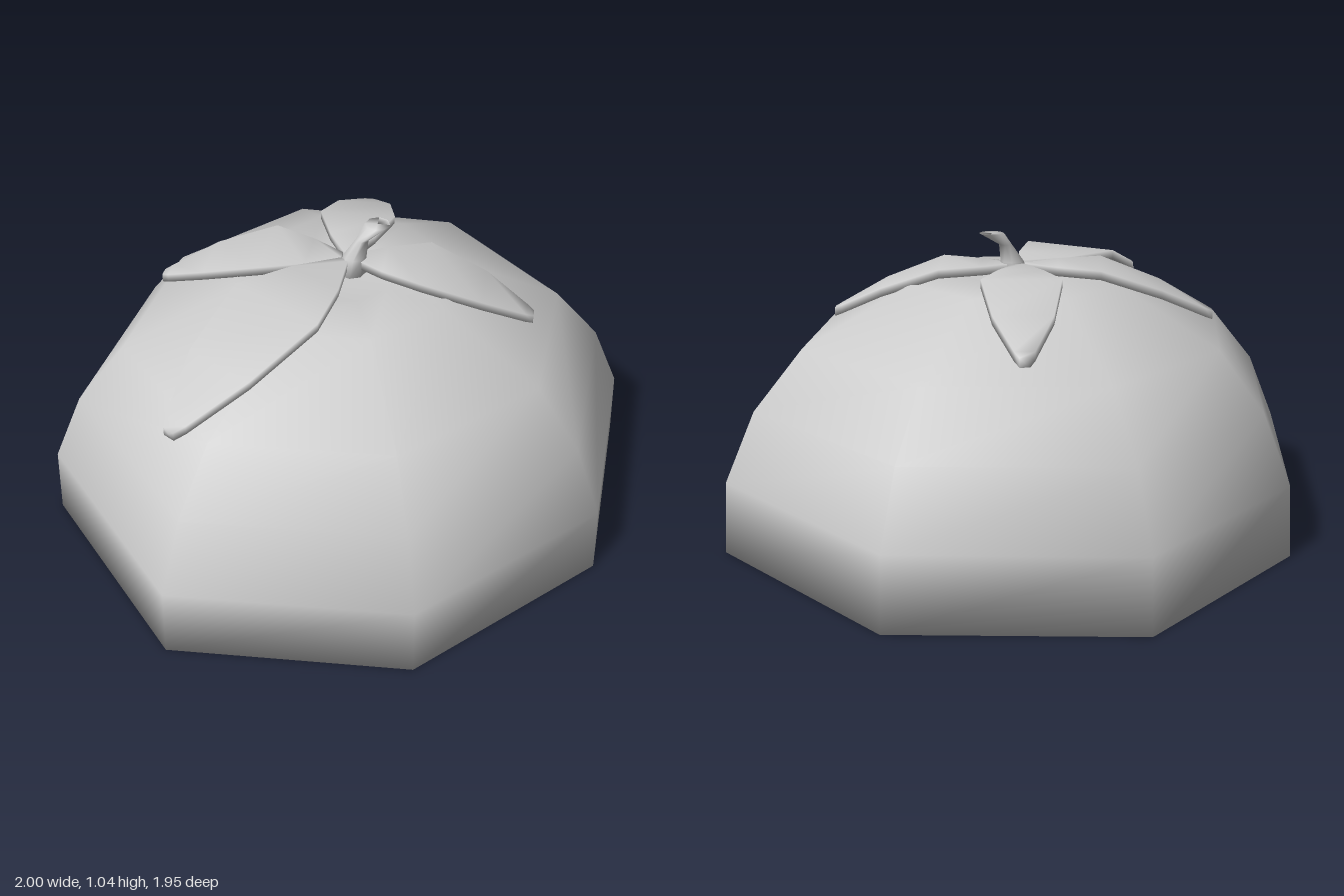
import * as THREE from 'three';

// Smooth closed surface through rings of points, counterclockwise seen from the last ring
function loft(rings, startCap, endCap) {
  const n = rings[0].length, pos = [], index = [];
  const mean = (ring) => [0, 1, 2].map((k) => ring.reduce((s, p) => s + p[k], 0) / n);
  rings.forEach((ring) => ring.forEach((p) => pos.push(...p)));
  const last = (rings.length - 1) * n, c0 = rings.length * n, c1 = c0 + 1;
  pos.push(...(startCap ?? mean(rings[0])), ...(endCap ?? mean(rings[rings.length - 1])));
  for (let j = 0; j < n; j++) {
    const k = (j + 1) % n;
    for (let i = 0; i < last; i += n) {
      index.push(i + j, i + k, i + n + k, i + j, i + n + k, i + n + j);
    }
    index.push(c0, k, j, c1, last + j, last + k);
  }
  const g = new THREE.BufferGeometry();
  g.setAttribute('position', new THREE.Float32BufferAttribute(pos, 3));
  g.setIndex(index);
  g.computeVertexNormals();
  return g;
}

export function createModel() {
  const group = new THREE.Group();
  const material = new THREE.MeshStandardMaterial({ color: 0xcccccc });
  const add = (name, geometry) => {
    const mesh = new THREE.Mesh(geometry, material);
    mesh.name = name;
    group.add(mesh);
    return mesh;
  };

  // Fruit body: slightly uneven octagon scaled up a dome, with a shallow dip on top
  const outline = [[-0.4, -0.98], [-0.92, -0.41], [-1, 0.38], [-0.44, 0.97],
    [0.37, 0.92], [0.94, 0.37], [1, -0.39], [0.41, -0.97]];
  const profile = [[1, 0], [0.985, 0.25], [0.885, 0.49], [0.725, 0.69], [0.37, 0.88], [0.16, 0.88]];
  add('fruitBody', loft(
    profile.map(([s, y]) => outline.map(([x, z]) => [x * s, y, z * s])),
    [0, 0, 0], [0, 0.83, 0]));

  // Leaves: thin pointed plates, flat near the stem and drooping to the tip
  // Each section: distance along, half width, droop
  const sections = [[0.03, 0.025, 0], [0.2, 0.12, 0], [0.42, 0.205, 0],
    [0.73, 0.15, 0.45], [0.96, 0.05, 0.92], [1, 0.025, 1]];
  const thickness = 0.03;
  const leaves = [
    ['leafBack', -0.02, -0.65, 0.16],
    ['leafLeft', 0.645, 0.01, 0.16],
    ['leafRight', -0.67, -0.03, 0.16],
    ['leafFront', -0.44, 0.75, 0.205],
  ];
  for (const [name, dx, dz, droop] of leaves) {
    const length = Math.hypot(dx, dz);
    const leaf = add(name, loft(sections.map(([t, w, d]) => {
      const hw = w * length, y = -d * droop, z = t * length;
      return [[-hw, y - thickness, z], [hw, y - thickness, z], [hw, y, z], [-hw, y, z]];
    })));
    leaf.position.set(0, 0.935, -0.04);
    leaf.rotation.y = Math.atan2(dx, dz);
  }

  // Stem: waisted stalk bending over to a flat slanted end; x, y, z, radius
  const stalk = [[0.015, 0.88, -0.03, 0.05], [0.025, 0.94, -0.035, 0.04],
    [0.048, 1.0, -0.045, 0.022], [0.095, 1.045, -0.08, 0.043]];
  add('stem', loft(stalk.map(([x, y, z, r]) => Array.from({ length: 8 }, (_, i) => {
    const a = (i / 8) * Math.PI * 2;
    return [x + r * Math.cos(a), y, z - r * Math.sin(a)];
  }))));

  return group;
}
